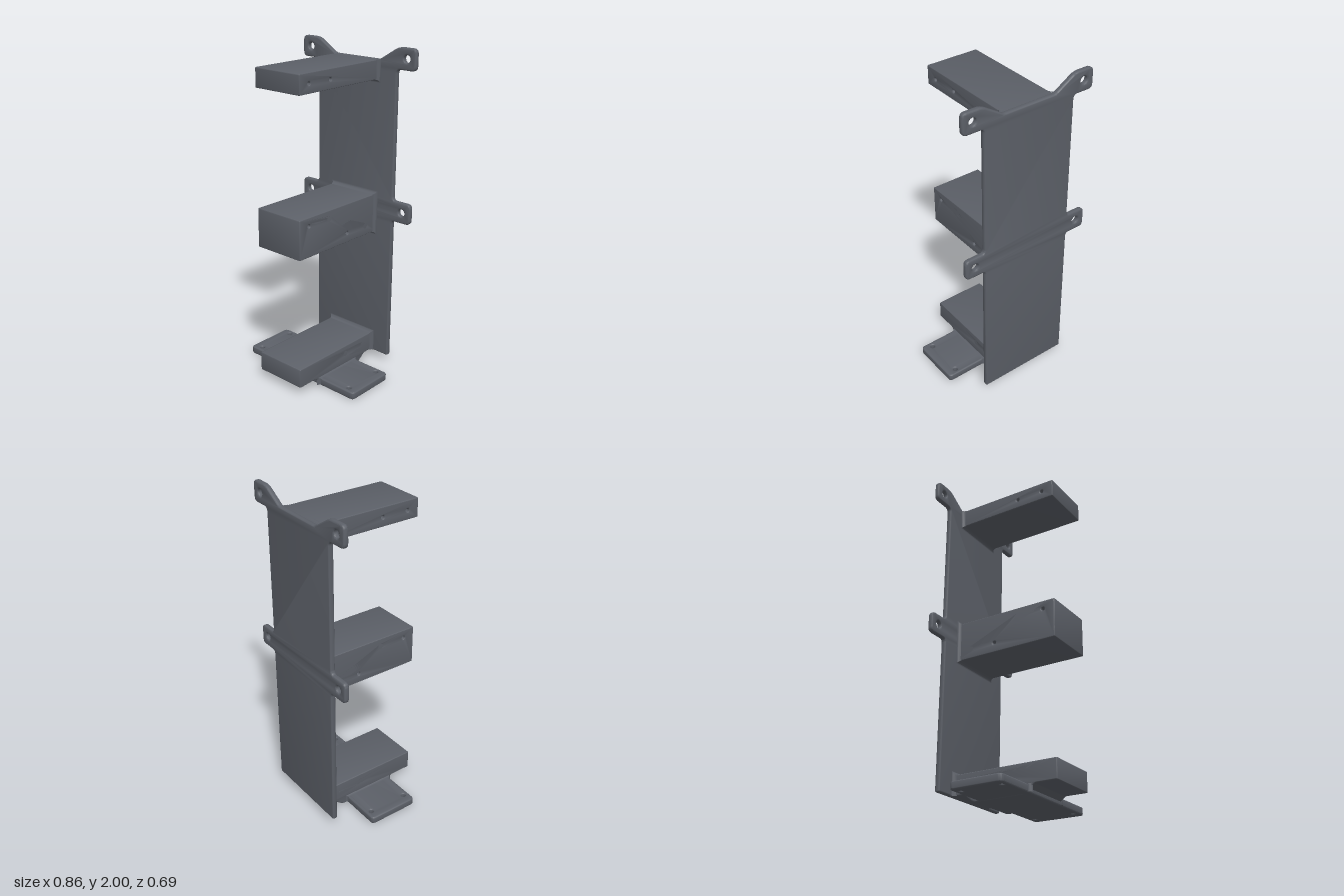
import * as THREE from 'three';
import { toCreasedNormals } from 'three/addons/utils/BufferGeometryUtils.js';

const grey = new THREE.MeshStandardMaterial({ color: 0x5c6068 });
grey.name = 'slate grey';

// Closed outline with every corner rounded; points are [x, y, radius]
function roundedOutline(points) {
  const shape = new THREE.Shape();
  const n = points.length;
  points.forEach(([x, y, r], i) => {
    const c = new THREE.Vector2(x, y);
    const toward = ([px, py]) => new THREE.Vector2(px, py).sub(c).setLength(r).add(c);
    const a = toward(points[(i + n - 1) % n]);
    const b = toward(points[(i + 1) % n]);
    if (i === 0) shape.moveTo(a.x, a.y);
    else shape.lineTo(a.x, a.y);
    shape.quadraticCurveTo(c.x, c.y, b.x, b.y);
  });
  shape.closePath();
  return shape;
}

function addHole(shape, x, y, r) {
  shape.holes.push(new THREE.Path().absarc(x, y, r, 0, Math.PI * 2, true));
}

// Slab of total thickness t with softened edges, from z = 0 to t
function slab(shape, t, bevel) {
  const g = new THREE.ExtrudeGeometry(shape, {
    depth: t - 2 * bevel, bevelEnabled: true, bevelThickness: bevel, bevelSize: bevel,
    bevelOffset: -bevel, bevelSegments: 3, curveSegments: 6,
  });
  g.translate(0, 0, bevel);
  return toCreasedNormals(g, 0.6);
}

// Concave fillet flaring from a rectangle onto a wall at z = 0
function collar(half, y0, y1, r, below, above) {
  const steps = 6, pos = [];
  const ring = (i) => {
    const a = (i / steps) * Math.PI / 2;
    const o = r * (1 - Math.sin(a)), z = r * (1 - Math.cos(a));
    const x = half + o, lo = y0 - o * below, hi = y1 + o * above;
    return [[x, lo, z], [x, hi, z], [-x, hi, z], [-x, lo, z]];
  };
  for (let i = 0; i < steps; i++) {
    const p = ring(i), q = ring(i + 1);
    for (let j = 0; j < 4; j++) {
      const k = (j + 1) % 4;
      pos.push(...p[j], ...p[k], ...q[k], ...p[j], ...q[k], ...q[j]);
    }
  }
  const g = new THREE.BufferGeometry();
  g.setAttribute('position', new THREE.Float32BufferAttribute(pos, 3));
  return toCreasedNormals(g, 0.6);
}

export function createModel() {
  const model = new THREE.Group();
  const body = new THREE.Group();
  body.name = 'bracket';
  model.add(body);
  const add = (name, geometry, parent = body) => {
    const m = new THREE.Mesh(geometry, grey);
    m.name = name;
    parent.add(m);
    return m;
  };

  // Back plate with four drilled ears
  const rightHalf = [
    [0.295, 0.055, 0.01], [0.295, 0.965, 0.02], [0.425, 0.965, 0.03], [0.425, 1.092, 0.03],
    [0.295, 1.092, 0.025], [0.295, 1.873, 0.025], [0.425, 1.873, 0.03], [0.425, 2, 0.03],
    [0.302, 2, 0.03], [0.168, 1.917, 0.015],
  ];
  const mirrored = rightHalf.map(([x, y, r]) => [-x, y, r]).reverse();
  const plate = roundedOutline([...rightHalf, ...mirrored]);
  for (const s of [-1, 1]) {
    addHole(plate, s * 0.362, 1.938, 0.023);
    addHole(plate, s * 0.362, 1.03, 0.023);
  }
  add('backPlate', slab(plate, 0.032, 0.009)).position.z = -0.346;

  // Three arms: side profile pushed across x, with blind screw holes
  const upper = [0.27, 0.10], lower = [-0.06, -0.225];
  const arms = [
    { name: 'topArm', y0: 1.802, y1: 1.916, holes: upper.map(z => [z, 1.857]), below: 1, above: 0 },
    {
      name: 'middleArm', y0: 0.868, y1: 1.107, below: 1, above: 1,
      holes: [...upper.map(z => [z, 1.056]), ...lower.map(z => [z, 0.926])],
    },
    {
      name: 'bottomArm', y0: 0.057, y1: 0.176, holes: lower.map(z => [z, 0.124]), below: 0, above: 1,
      foot: [[0.21, 0.057, 0.01], [0.145, 0.006, 0.02], [-0.18, 0.006, 0.02], [-0.245, 0.057, 0.01]],
    },
  ];
  for (const arm of arms) {
    const group = new THREE.Group();
    group.name = arm.name;
    body.add(group);
    const front = -0.346, back = 0.325;
    const profile = roundedOutline([
      [front, arm.y0, 0.006],
      ...(arm.foot || []).map(([u, y, r]) => [-u, y, r]).sort((a, b) => a[0] - b[0]),
      [back, arm.y0, 0.006], [back, arm.y1, 0.006], [front, arm.y1, 0.006],
    ]);
    arm.holes.forEach(([z, y]) => addHole(profile, -z, y, 0.011));
    const g = slab(profile, 0.332, 0.006);
    g.rotateY(Math.PI / 2);
    add('armBlock', g, group).position.x = -0.166;
    // Floors of the screw holes
    for (const [z, y] of arm.holes) {
      const floor = new THREE.CylinderGeometry(0.012, 0.012, 0.27, 12);
      floor.rotateZ(Math.PI / 2);
      add('screwHoleFloor', floor, group).position.set(0, y, z);
    }
    add('armFillet', collar(0.165, arm.y0, arm.y1, 0.026, arm.below, arm.above), group).position.z = -0.315;
  }

  // Base plate with four corner holes
  const base = roundedOutline([
    [-0.43, -0.178, 0.025], [0.43, -0.178, 0.025], [0.43, 0.147, 0.025], [-0.43, 0.147, 0.025],
  ]);
  for (const x of [-0.367, 0.367]) for (const y of [-0.141, 0.112]) addHole(base, x, y, 0.014);
  const baseGeometry = slab(base, 0.046, 0.008);
  baseGeometry.rotateX(-Math.PI / 2);
  add('basePlate', baseGeometry).position.y = 0.008;

  // Small fillets where the base plate meets the bottom arm
  for (const s of [-1, 1]) {
    const g = collar(0.161, 0.012, 0.053, 0.022, 0, 0.5);
    g.rotateY(s * Math.PI / 2);
    add('baseFillet', g).position.set(s * 0.164, 0, 0.0155);
  }

  // The whole bracket leans very slightly sideways
  body.rotation.z = -0.005;
  body.position.set(-0.005, 0, 0);
  return model;
}
